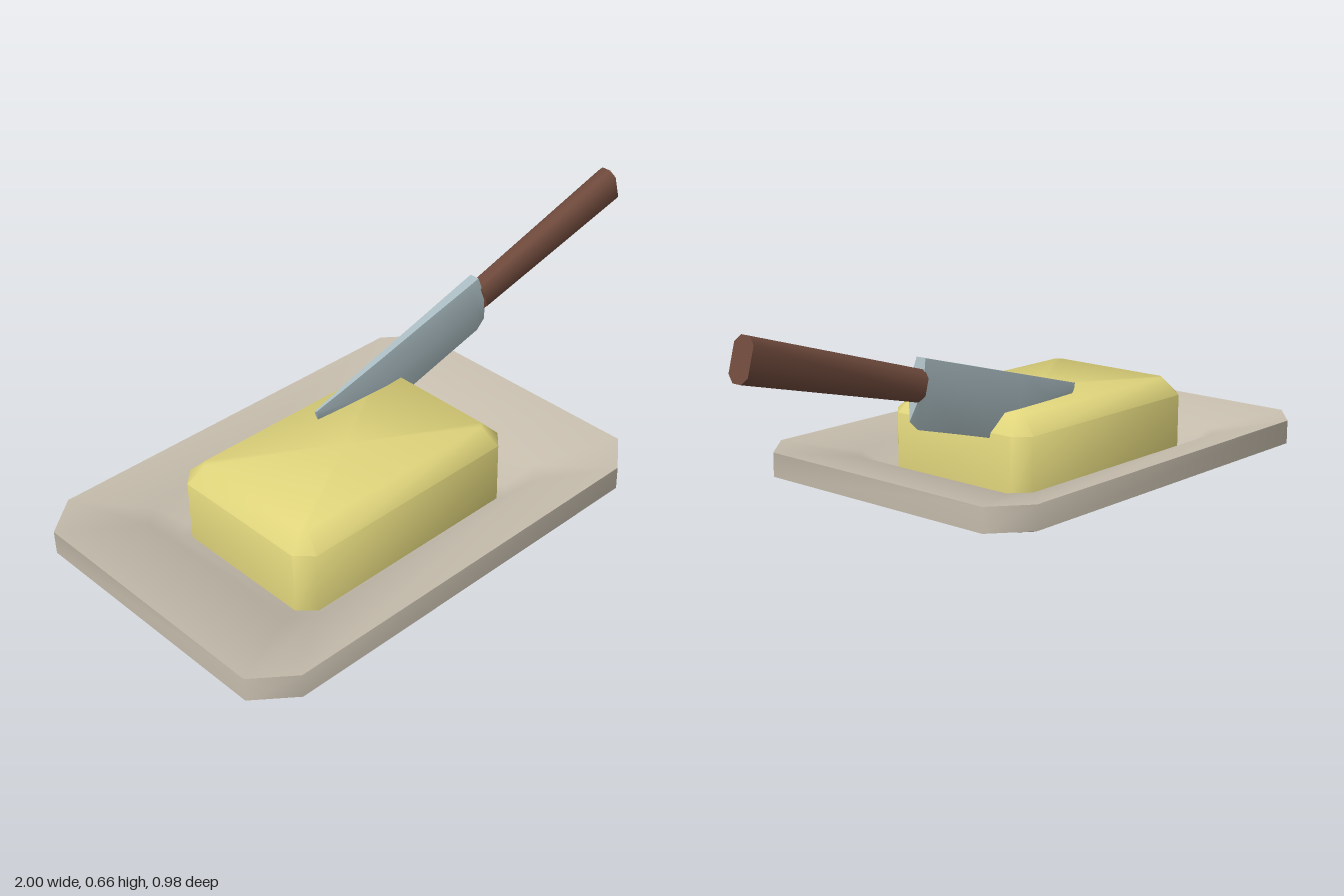
import * as THREE from 'three';
import { toCreasedNormals } from 'three/addons/utils/BufferGeometryUtils.js';

const mat = (name, color) => {
  const m = new THREE.MeshStandardMaterial({ color });
  m.name = name;
  return m;
};

// Skins a series of closed rings (counter-clockwise about the travel axis) and caps both ends
function loft(rings, crease) {
  const pos = [];
  const tri = (...pts) => pts.forEach((p) => pos.push(...p));
  const n = rings[0].length;
  for (let i = 0; i < rings.length - 1; i++) {
    for (let j = 0; j < n; j++) {
      const k = (j + 1) % n;
      const [a, b, c, d] = [rings[i][j], rings[i][k], rings[i + 1][k], rings[i + 1][j]];
      tri(a, b, c);
      tri(a, c, d);
    }
  }
  const cap = (ring, flip) => {
    const mid = [0, 1, 2].map((q) => ring.reduce((s, p) => s + p[q], 0) / n);
    for (let j = 0; j < n; j++) {
      const k = (j + 1) % n;
      if (flip) tri(mid, ring[k], ring[j]);
      else tri(mid, ring[j], ring[k]);
    }
  };
  cap(rings[0], true);
  cap(rings[rings.length - 1], false);
  const geo = new THREE.BufferGeometry();
  geo.setAttribute('position', new THREE.Float32BufferAttribute(pos, 3));
  return toCreasedNormals(geo, crease);
}

// Rectangle with cut corners: half sizes a, b and cuts ca, cb
const octagon = (a, b, ca, cb) => [
  [a, -b + cb], [a, b - cb], [a - ca, b], [-a + ca, b],
  [-a, b - cb], [-a, -b + cb], [-a + ca, -b], [a - ca, -b],
];
const levelRing = ([y, a, b, ca, cb]) => octagon(a, b, ca, cb).map(([p, q]) => [p, y, -q]);

function part(name, geometry, material) {
  const mesh = new THREE.Mesh(geometry, material);
  mesh.name = name;
  return mesh;
}

export function createModel() {
  const stoneware = mat('stoneware', 0xc6bdad);
  const butterYellow = mat('butter yellow', 0xe0d57c);
  const steel = mat('steel', 0xaabcc1);
  const wood = mat('dark wood', 0x6f4a3c);
  const model = new THREE.Group();
  model.name = 'butterDish';

  // Dish: up the outside, over the rim and down into the well
  const dish = part('dish', loft([
    [0, 0.44, 0.30, 0.055, 0.05],
    [0.055, 0.53, 0.365, 0.06, 0.055],
    [0.093, 0.71, 0.49, 0.11, 0.09],
    [0.165, 0.71, 0.49, 0.11, 0.09],
    [0.127, 0.48, 0.33, 0.055, 0.05],
    [0.07, 0.41, 0.275, 0.045, 0.04],
  ].map(levelRing), 0.9), stoneware);
  dish.position.x = -0.29;

  // Butter block with bevelled top and corners
  const butter = part('butter', loft([
    [0.07, 0.388, 0.261, 0.045, 0.045],
    [0.255, 0.388, 0.261, 0.045, 0.045],
    [0.305, 0.34, 0.21, 0.015, 0.015],
  ].map(levelRing), 0.9), butterYellow);
  butter.position.x = -0.29;

  // Knife, tilted, with its origin at the heel of the spine
  const knife = new THREE.Group();
  knife.name = 'knife';
  knife.position.set(0.37, 0.51, -0.14);
  knife.rotation.z = THREE.MathUtils.degToRad(15.2);

  // Blade stations: length, edge depth, spine half width, belly half width
  const blade = part('blade', loft([
    [-0.668, -0.035, 0.003, 0.004],
    [-0.55, -0.12, 0.007, 0.011],
    [-0.42, -0.19, 0.010, 0.017],
    [-0.2, -0.19, 0.013, 0.023],
    [-0.036, -0.191, 0.016, 0.027],
    [0, -0.172, 0.016, 0.027],
  ].map(([u, edge, spine, belly]) => [
    [u, 0, -spine], [u, 0, spine], [u, edge * 0.45, belly], [u, edge, 0], [u, edge * 0.45, -belly],
  ]), 0.6), steel);

  // Handle flares slightly towards the butt
  const handle = part('handle', loft([[-0.005, 0.044], [0.612, 0.059]].map(([u, h]) =>
    octagon(h, 0.035, 0.02, 0.02).map(([p, q]) => [u, p - 0.074, q])), 0.9), wood);

  knife.add(blade, handle);
  model.add(dish, butter, knife);
  return model;
}
